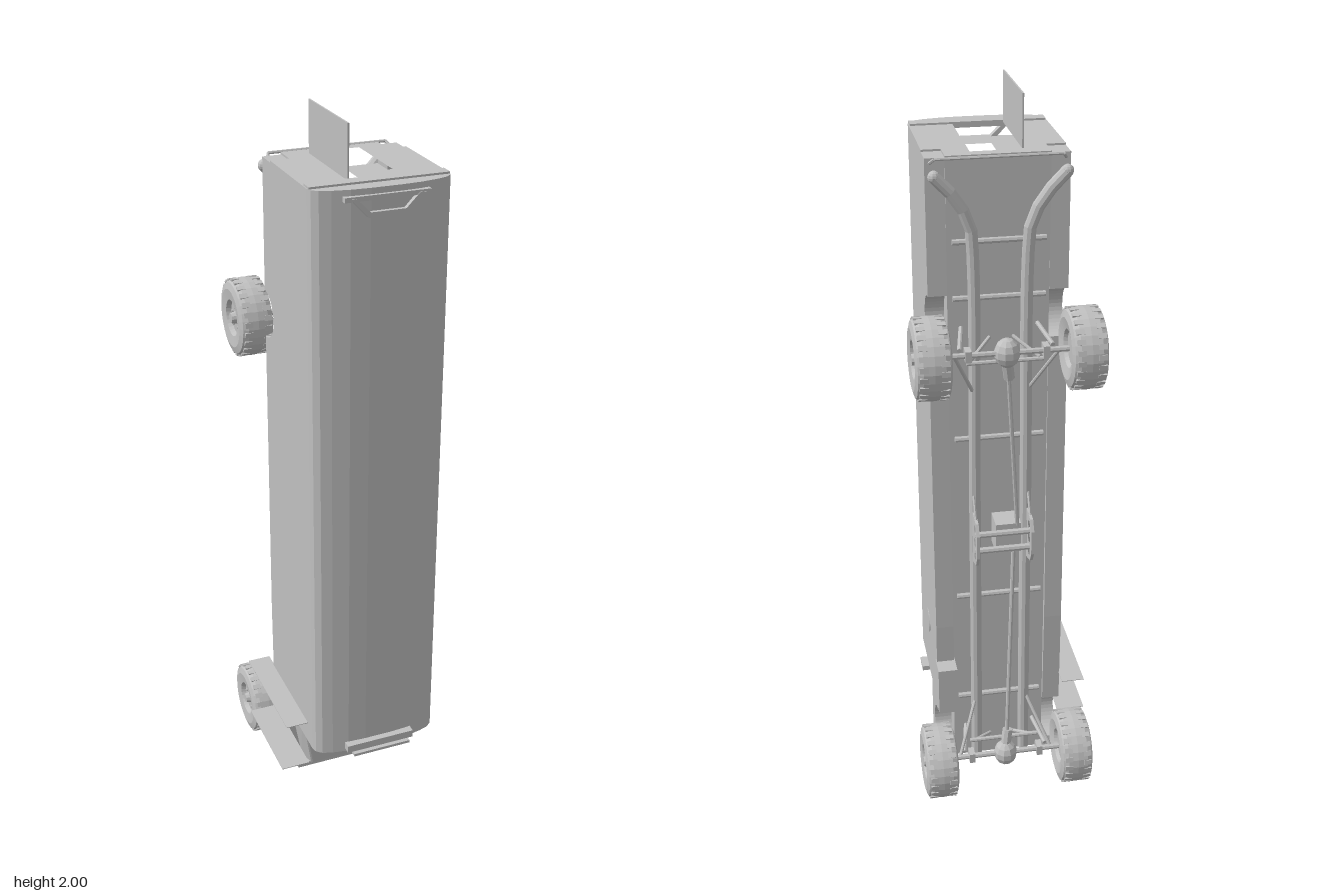
import * as THREE from 'three';

const grey = new THREE.MeshStandardMaterial({ color: 0xc0c0c0, flatShading: true });
grey.name = 'plainGrey';
const smoothGrey = grey; // one colour throughout
const V = (x, y, z) => new THREE.Vector3(x, y, z);

function add(parent, name, geometry, x = 0, y = 0, z = 0) {
  const m = new THREE.Mesh(geometry, smoothGrey);
  m.name = name;
  m.position.set(x, y, z);
  parent.add(m);
  return m;
}

// box given by its extents on each axis
function box(parent, name, x0, x1, y0, y1, z0, z1) {
  return add(parent, name, new THREE.BoxGeometry(x1 - x0, y1 - y0, z1 - z0),
    (x0 + x1) / 2, (y0 + y1) / 2, (z0 + z1) / 2);
}

// round bar between two points
function rod(parent, name, a, b, r, sides = 8) {
  const d = b.clone().sub(a);
  const m = add(parent, name, new THREE.CylinderGeometry(r, r, d.length(), sides));
  m.position.copy(a).addScaledVector(d, 0.5);
  m.quaternion.setFromUnitVectors(V(0, 1, 0), d.normalize());
  return m;
}

// horizontal section of the body, given in (x, -z), with an optional opening
function section(y0, y1, openHalf) {
  const half = [[0.1325, -0.085], [0.1325, -0.02], [0.1825, -0.02], [0.1825, 0.235],
    [0.178, 0.252], [0.163, 0.265], [0.135, 0.274], [0.09, 0.282], [0.04, 0.285]];
  const pts = [...half, ...half.map(([x, z]) => [-x, z]).reverse()];
  const s = new THREE.Shape(pts.map(([x, z]) => new THREE.Vector2(x, -z)));
  if (openHalf) {
    const o = openHalf;
    s.holes.push(new THREE.Path([[-o, 0.055], [o, 0.055], [o, -0.21], [-o, -0.21]]
      .map(([x, y]) => new THREE.Vector2(x, y))));
  }
  return new THREE.ExtrudeGeometry(s, { depth: y1 - y0, bevelEnabled: false })
    .rotateX(-Math.PI / 2).translate(0, y0, 0);
}

// lower side panel with wheel arches, profile in (z, y)
function skirtGeometry() {
  const s = new THREE.Shape();
  s.moveTo(-0.02, 0.02);
  s.lineTo(-0.1, 0.02);
  s.lineTo(-0.095, 0.055);
  s.absarc(-0.095, 0.13, 0.073, -Math.PI / 2, Math.PI / 2, false);
  s.lineTo(-0.1, 0.5);
  s.absarc(-0.088, 1.44, 0.066, -Math.PI / 2, Math.PI / 2, false);
  s.lineTo(-0.08, 1.86);
  s.lineTo(-0.02, 1.86);
  s.closePath();
  return new THREE.ExtrudeGeometry(s, { depth: 0.05, bevelEnabled: false, curveSegments: 10 })
    .rotateY(-Math.PI / 2);
}

// wheel centred on its hub, outer face towards +x
function makeWheel() {
  const w = new THREE.Group();
  const tyre = [[0.045, -0.03], [0.05, -0.04], [0.08, -0.047], [0.098, -0.042], [0.105, -0.028],
    [0.107, 0], [0.105, 0.028], [0.098, 0.042], [0.08, 0.047], [0.05, 0.043], [0.045, 0.03]];
  add(w, 'tyre', new THREE.LatheGeometry(tyre.map(p => new THREE.Vector2(...p)), 28)
    .rotateZ(-Math.PI / 2));
  add(w, 'rim', new THREE.CylinderGeometry(0.046, 0.046, 0.06, 24).rotateZ(Math.PI / 2));
  add(w, 'hub', new THREE.CylinderGeometry(0.014, 0.018, 0.02, 10).rotateZ(-Math.PI / 2), 0.036);
  for (let i = 0; i < 5; i++) {
    const a = i * Math.PI * 2 / 5;
    add(w, 'wheelNut', new THREE.CylinderGeometry(0.004, 0.004, 0.006, 6).rotateZ(Math.PI / 2),
      0.032, Math.cos(a) * 0.029, Math.sin(a) * 0.029);
  }
  for (let i = 0; i < 24; i++) for (const s of [-1, 1]) {
    const a = (i + (s > 0 ? 0.5 : 0)) * Math.PI / 12;
    const lug = add(w, 'treadLug', new THREE.BoxGeometry(0.022, 0.005, 0.014),
      s * 0.027, Math.cos(a) * 0.104, Math.sin(a) * 0.104);
    lug.rotation.x = a;
  }
  return w;
}

function makeAxle(name, dir) {
  const a = new THREE.Group();
  a.name = name;
  rod(a, 'axleTube', V(-0.16, 0, 0), V(0.16, 0, 0), 0.008);
  add(a, 'differential', new THREE.SphereGeometry(0.034, 10, 7)).scale.y = 1.15;
  rod(a, 'pinionHousing', V(0, dir * 0.02, 0), V(-0.008, dir * 0.075, 0.012), 0.015);
  rod(a, 'tieRod', V(-0.1, dir * 0.035, 0.028), V(0.1, dir * 0.035, 0.028), 0.006);
  for (const s of [-1, 1]) {
    rod(a, 'shockAbsorber', V(s * 0.12, 0.01, 0.01), V(s * 0.1, 0.03, 0.11), 0.006);
    rod(a, 'radiusArm', V(s * 0.135, 0, 0), V(s * 0.075, dir * 0.14, 0.085), 0.005);
    rod(a, 'panhardBar', V(s * 0.09, dir * 0.03, 0.03), V(s * 0.03, 0.01, 0.085), 0.005);
    box(a, 'springPerch', s * 0.1 - 0.008, s * 0.1 + 0.008, -0.015, 0.015, -0.014, 0.02);
    const w = makeWheel();
    w.name = s > 0 ? 'leftWheel' : 'rightWheel';
    w.position.x = s * 0.1965;
    if (s < 0) w.rotation.y = Math.PI;
    a.add(w);
  }
  return a;
}

export function createModel() {
  const root = new THREE.Group();
  root.name = 'uprightCamper';
  const g = new THREE.Group();
  g.name = 'vehicle';
  g.position.x = 0.0085;
  root.add(g);

  // living box: solid front, narrow aisle, wider doorway in the rear wall
  add(g, 'bodyFront', section(0.23, 0.3, 0));
  add(g, 'bodyMiddle', section(0.3, 1.81, 0.035));
  add(g, 'rearWall', section(1.81, 1.865, 0.068));
  for (const s of [-1, 1])
    add(g, 'sideSkirt', skirtGeometry(), s > 0 ? 0.1825 : -0.1325);
  box(g, 'openRearDoor', -0.0695, -0.0655, 1.865, 2, -0.05, 0.21);
  rod(g, 'serviceHatch', V(0.182, 0.41, 0.075), V(0.1845, 0.41, 0.075), 0.036, 24);
  box(g, 'mirrorPlate', 0.17, 0.2, 0.195, 0.21, 0.115, 0.165);

  // cab, bonnet and front bumper
  box(g, 'cabCore', -0.1325, 0.1325, 0.02, 0.23, -0.085, 0.02);
  box(g, 'cabShoulders', -0.1825, 0.1825, 0.03, 0.23, -0.02, 0.025);
  const bonnet = new THREE.BoxGeometry(1, 1, 1);
  const p = bonnet.attributes.position;
  for (let i = 0; i < p.count; i++) {
    const up = p.getY(i) > 0, front = p.getZ(i) > 0;
    p.setXYZ(i, Math.sign(p.getX(i)) * ((up ? 0.16 : 0.125) + (front ? 0 : 0.015)),
      up ? 0.232 : 0.03, front ? (up ? 0.09 : 0.068) : 0.02);
  }
  bonnet.computeVertexNormals();
  add(g, 'bonnet', bonnet);
  box(g, 'frontBumper', -0.165, 0.165, 0.02, 0.034, -0.08, 0.065);
  for (const s of [-1, 1])
    rod(g, 'bonnetPillar', V(s * 0.155, 0.225, 0.087), V(s * 0.122, 0.035, 0.067), 0.005, 6);

  // roof lamp bars at both ends
  box(g, 'frontLampBar', -0.1, 0.1, 0.24, 0.262, 0.28, 0.303);
  box(g, 'frontLampShelf', -0.085, 0.085, 0.232, 0.24, 0.28, 0.315);
  const lamp = new THREE.Shape([[-0.095, 1.845], [-0.05, 1.797], [0.05, 1.797], [0.095, 1.845],
    [0.08, 1.845], [0.045, 1.81], [-0.045, 1.81], [-0.08, 1.845]]
    .map(q => new THREE.Vector2(...q)));
  add(g, 'rearLampFrame', new THREE.ExtrudeGeometry(lamp, { depth: 0.02, bevelEnabled: false }),
    0, 0, 0.276);
  box(g, 'rearLampBar', -0.11, 0.11, 1.838, 1.85, 0.272, 0.294);
  box(g, 'rearRoofTrim', -0.18, 0.18, 1.865, 1.87, 0.21, 0.245);

  // two thin fold-out shelves on the right side
  box(g, 'upperFoldOut', -0.246, -0.18, 0.294, 0.296, -0.145, 0.2);
  box(g, 'lowerFoldOut', -0.262, -0.18, 0.149, 0.151, -0.09, 0.2);

  // chassis tubes that splay outwards at the rear
  for (const s of [-1, 1]) {
    const path = new THREE.CatmullRomCurve3([V(s * 0.07, 0.05, -0.115), V(s * 0.07, 0.9, -0.115),
      V(s * 0.07, 1.6, -0.115), V(s * 0.078, 1.7, -0.117), V(s * 0.115, 1.77, -0.12),
      V(s * 0.165, 1.825, -0.122)]);
    add(g, 'chassisTube', new THREE.TubeGeometry(path, 32, 0.016, 10));
    const end = path.getPoint(1);
    add(g, 'chassisTubeEnd', new THREE.SphereGeometry(0.016, 10, 8), end.x, end.y, end.z);
  }
  for (const y of [0.25, 0.6, 1.1, 1.5, 1.65])
    rod(g, 'crossMember', V(-0.12, y, -0.098), V(0.12, y, -0.098), 0.008);
  box(g, 'fuelTank', 0.13, 0.185, 0.23, 0.38, -0.147, -0.085);
  rod(g, 'rearBar', V(-0.16, 1.862, -0.1), V(0.16, 1.862, -0.1), 0.004, 6);
  for (const s of [-1, 1])
    rod(g, 'rearBarBracket', V(s * 0.16, 1.862, -0.1), V(s * 0.175, 1.84, -0.07), 0.004, 6);

  // transfer case between two drilled plates
  const plate = new THREE.Shape([[-0.12, 0.73], [-0.18, 0.75], [-0.198, 0.78], [-0.198, 0.85],
    [-0.18, 0.88], [-0.12, 0.89]].map(q => new THREE.Vector2(...q)));
  for (const y of [0.775, 0.815, 0.855]) {
    const h = new THREE.Path();
    h.absarc(-0.165, y, 0.013, 0, Math.PI * 2, true);
    plate.holes.push(h);
  }
  const plateGeo = new THREE.ExtrudeGeometry(plate, { depth: 0.008, bevelEnabled: false })
    .rotateY(-Math.PI / 2);
  for (const s of [-1, 1]) {
    add(g, 'drilledPlate', plateGeo, s * 0.075 + 0.004);
    rod(g, 'plateBrace', V(s * 0.075, 0.87, -0.165), V(s * 0.075, 0.95, -0.12), 0.004, 6);
  }
  for (const y of [0.79, 0.84])
    rod(g, 'transferBar', V(-0.08, y, -0.17), V(0.08, y, -0.17), 0.009);
  box(g, 'transferCase', -0.05, 0.02, 0.77, 0.86, -0.16, -0.09);

  // axles and drive shafts
  const rear = makeAxle('rearAxle', -1);
  rear.position.set(0, 1.39, -0.207);
  const front = makeAxle('frontAxle', 1);
  front.position.set(0, 0.11, -0.207);
  g.add(rear, front);
  rod(g, 'rearDriveShaft', V(-0.005, 1.33, -0.2), V(-0.04, 0.85, -0.155), 0.006);
  rod(g, 'frontDriveShaft', V(-0.005, 0.17, -0.2), V(-0.03, 0.78, -0.155), 0.006);
  return root;
}
